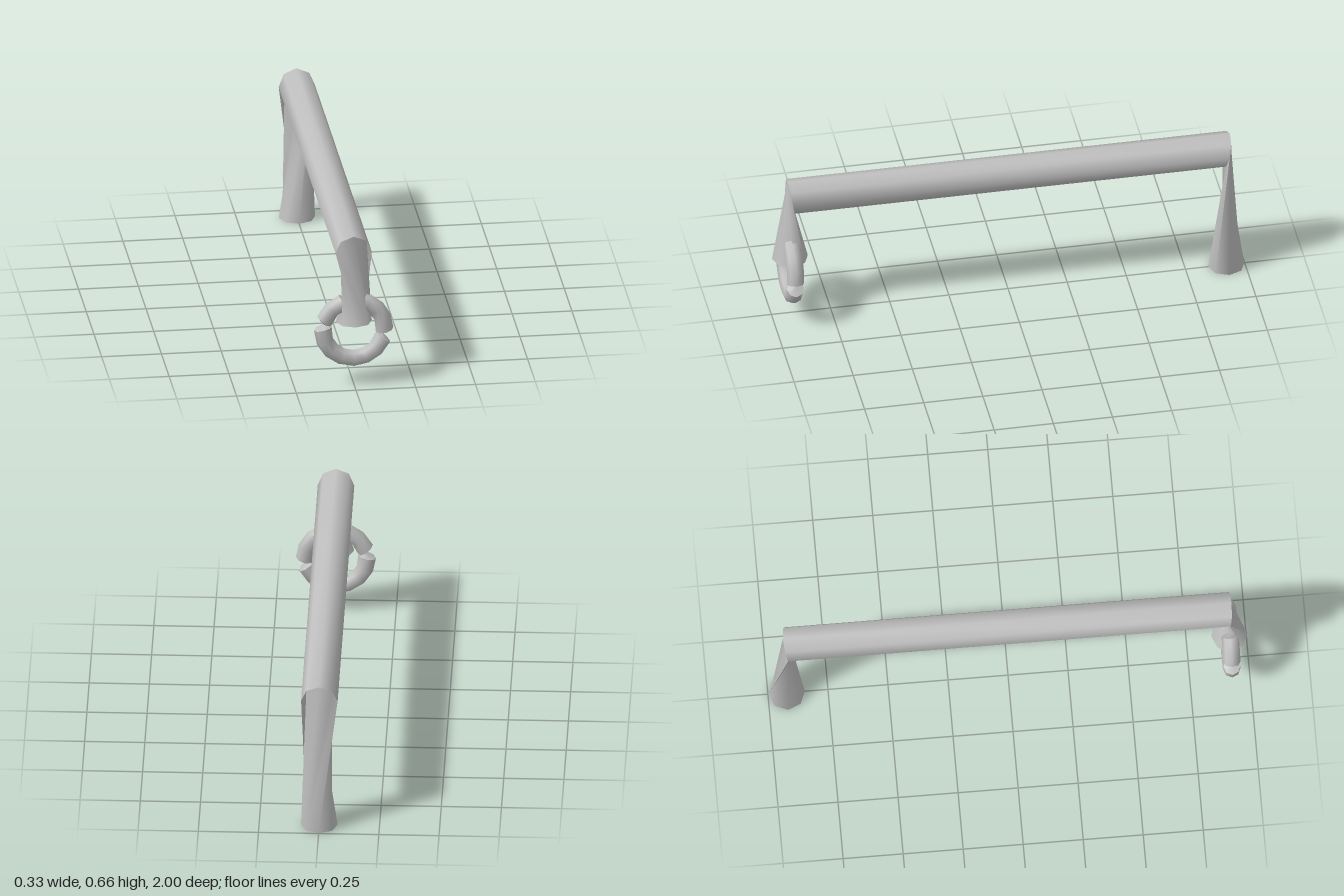
import * as THREE from 'three';

const SIDES = 8;
const rad = THREE.MathUtils.degToRad;

// Skin through cross-sections; each section maps an angle to a point.
// flip(s, i) picks which diagonal splits a quad.
function skin(sections, flip = () => false) {
  const pos = [], idx = [];
  for (const section of sections)
    for (let i = 0; i < SIDES; i++) pos.push(...section((i / SIDES) * Math.PI * 2));
  for (let s = 0; s < sections.length - 1; s++)
    for (let i = 0; i < SIDES; i++) {
      const j = (i + 1) % SIDES;
      const a = s * SIDES + i, b = s * SIDES + j, c = b + SIDES, d = a + SIDES;
      if (flip(s, i)) idx.push(a, b, d, b, c, d);
      else idx.push(a, b, c, a, c, d);
    }
  const g = new THREE.BufferGeometry();
  g.setAttribute('position', new THREE.Float32BufferAttribute(pos, 3));
  g.setIndex(idx);
  g.computeVertexNormals();
  return g;
}

export function createModel() {
  const group = new THREE.Group();
  const metal = new THREE.MeshStandardMaterial({ color: 0xbfbfbf, side: THREE.DoubleSide });
  metal.name = 'greyMetal';
  const add = (name, geometry) => {
    const m = new THREE.Mesh(geometry, metal);
    m.name = name;
    group.add(m);
    return m;
  };

  // Bent pipe: upright discs at the corners, flat discs (quarter turn) at the feet
  const R = 0.076, Y = 0.586, Z = 0.922;
  const foot = (y, z, dir) => t => [R * Math.sin(t), y, z + dir * R * Math.cos(t)];
  const corner = (z, tilt) => t =>
    [R * Math.cos(t), Y + 0.074 * Math.sin(t), z + tilt * Math.sin(t)];
  const rearFoot = foot(0, -Z, 1), rearCorner = corner(-Z, -0.016);
  const frontCorner = corner(Z, 0.009), frontFoot = foot(0.28, Z, -1);
  const isLeft = i => i >= 3 && i <= 6;
  add('rearLeg', skin([rearFoot, rearCorner], (s, i) => !isLeft(i)));
  add('bar', skin([rearCorner, frontCorner]));
  add('frontLeg', skin([frontCorner, frontFoot], (s, i) => isLeft(i)));

  // Closed ends of the pipe
  for (const [name, y, z] of [['rearFootCap', 0, -Z], ['frontSpoutCap', 0.28, Z]]) {
    const cap = add(name, new THREE.CircleGeometry(R, SIDES).rotateX(Math.PI / 2));
    cap.position.set(0, y, z);
  }

  // Ring of three tube arcs; slant moves the inner edge of a section along the ring
  const ringY = 0.244, ringR = 0.13, tubeR = 0.036;
  const ringSection = (deg, slant = 0, r = tubeR, centre = ringR) => t => {
    const a = rad(deg + slant * (0.5 - 0.5 * Math.cos(t)));
    const d = centre + r * Math.cos(t);
    return [d * Math.cos(a), ringY + d * Math.sin(a), Z - r * Math.sin(t)];
  };
  const arcs = [[180, 337.5], [360, 445], [472.5, 517.5]];
  const SLANT = 10;
  arcs.forEach(([from, to], k) => {
    const steps = Math.round((to - from) / 22.5);
    const sections = [];
    for (let i = 0; i <= steps; i++) {
      const slant = i === 0 ? -SLANT : i === steps ? SLANT : 0;
      sections.push(ringSection(from + ((to - from) * i) / steps, slant));
    }
    add('ringArc' + (k + 1), skin(sections));

    // Pinched joint to the next arc
    const next = k < 2 ? arcs[k + 1][0] : 540;
    const waist = ringSection((to + next) / 2, 0, 0.006, 0.12);
    add('ringJointStart' + (k + 1), skin([ringSection(to, SLANT), waist]));
    add('ringJointEnd' + (k + 1), skin([waist, ringSection(next, -SLANT)]));
  });

  return group;
}
